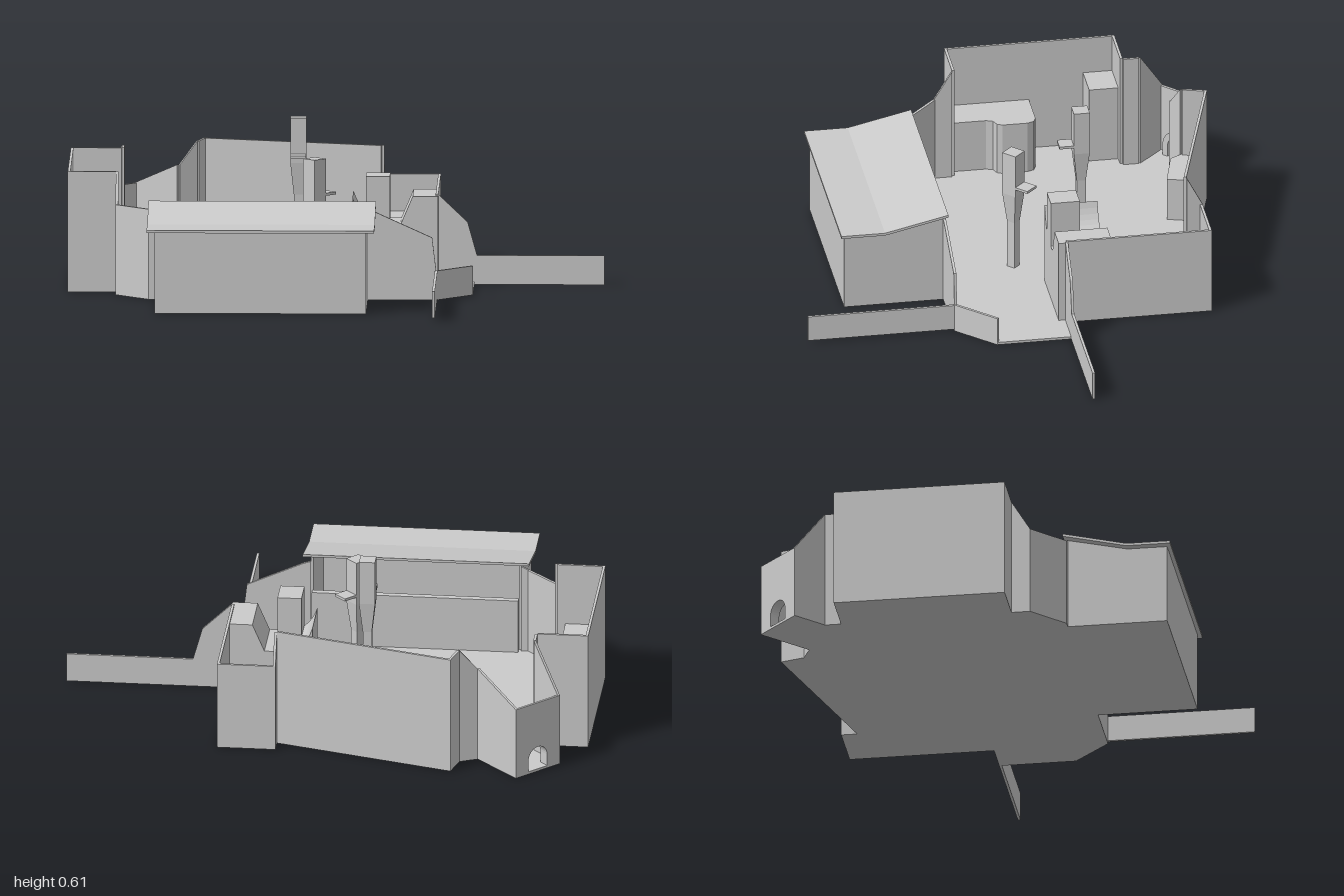
import * as THREE from 'three';

const material = new THREE.MeshStandardMaterial({ color: 0xcccccc, flatShading: true, side: THREE.DoubleSide });
const T = 0.01; // wall and floor thickness

function toShape(points) {
  return new THREE.Shape(points.map(([a, b]) => new THREE.Vector2(a, b)));
}

function extrude(shape, depth) {
  return new THREE.ExtrudeGeometry(shape, { depth, bevelEnabled: false, curveSegments: 8 });
}

export function createModel() {
  const model = new THREE.Group();

  function add(name, geometry, parent = model) {
    const mesh = new THREE.Mesh(geometry, material);
    mesh.name = name;
    parent.add(mesh);
    return mesh;
  }

  // Upright prism over an outline of [x, z] points
  function prism(name, outline, y0, y1) {
    const geometry = extrude(toShape(outline.map(([x, z]) => [x, -z])), y1 - y0);
    geometry.rotateX(-Math.PI / 2).translate(0, y0, 0);
    return add(name, geometry);
  }

  function box(name, x0, x1, y0, y1, z0, z1) {
    const geometry = new THREE.BoxGeometry(x1 - x0, y1 - y0, z1 - z0);
    geometry.translate((x0 + x1) / 2, (y0 + y1) / 2, (z0 + z1) / 2);
    return add(name, geometry);
  }

  // Thin walls through [x, z, height] points; the thickness lies to the inside
  function walls(name, points) {
    const group = new THREE.Group();
    group.name = name;
    for (let i = 0; i < points.length - 1; i++) {
      const [x0, z0, h0] = points[i];
      const [x1, z1, h1] = points[i + 1];
      const length = Math.hypot(x1 - x0, z1 - z0);
      const mesh = add(name + 'Panel', extrude(toShape([[0, 0], [length, 0], [length, h1], [0, h0]]), T), group);
      mesh.position.set(x0, 0, z0);
      mesh.rotation.y = -Math.atan2(z1 - z0, x1 - x0);
    }
    model.add(group);
  }

  // Ground plate
  prism('floor', [
    [-0.91, -0.70], [-0.76, -0.85], [-0.60, -0.69], [-0.535, -0.72], [-0.51, -0.81],
    [0.16, -0.62], [0.16, -0.68], [0.38, -0.68], [0.38, -0.13], [0.515, -0.13],
    [0.515, 0.155], [0.38, 0.295], [0.125, 0.295], [0.125, 0.67], [-0.665, 0.67],
    [-0.665, 0.295], [-0.695, 0.295], [-0.82, 0.175], [-0.82, 0.105], [-1, 0.105],
    [-1, -0.54], [-0.81, -0.54], [-0.81, -0.60],
  ], 0, T);

  // Outer walls, from the gate round the back to the right side
  walls('backWall', [
    [-0.76, -0.85, 0.28], [-0.60, -0.69, 0.37], [-0.535, -0.72, 0.455],
    [-0.51, -0.81, 0.455], [0.16, -0.62, 0.455], [0.16, -0.68, 0.34],
    [0.38, -0.68, 0.34], [0.38, -0.13, 0.34],
  ]);
  walls('sideWall', [
    [-0.695, 0.295, 0.34], [-0.82, 0.175, 0.34], [-0.82, 0.105, 0.455], [-1, 0.105, 0.455],
    [-1, -0.54, 0.455], [-0.81, -0.54, 0.455], [-0.81, -0.60, 0.455], [-0.91, -0.70, 0.28],
  ]);

  // Wall ends that step down towards the entrance
  walls('entranceWallBack', [[0.38, -0.135, 0.34], [0.49, -0.135, 0.235], [0.525, -0.135, 0.11], [1, -0.135, 0.11]]);
  walls('entranceWallFront', [
    [0.515, 0.155, 0.11], [0.38, 0.295, 0.11], [0.365, 0.295, 0.235], [0.155, 0.295, 0.33], [0.125, 0.295, 0.34],
  ]);
  box('lowFence', 0.375, 0.385, 0.01, 0.11, 0.295, 0.85);

  // Front annex with its counter and kinked roof
  walls('annexWall', [
    [0.125, 0.295, 0.355], [0.125, 0.52, 0.305], [0.125, 0.67, 0.305], [-0.665, 0.67, 0.305],
    [-0.665, 0.52, 0.305], [-0.665, 0.295, 0.355], [-0.695, 0.295, 0.34],
  ]);
  box('annexCounter', -0.655, 0.12, 0, 0.22, 0.27, 0.295);
  const roof = extrude(toShape([
    [0.685, 0.305], [0.52, 0.305], [0.28, 0.36], [0.28, 0.37], [0.52, 0.315], [0.685, 0.315],
  ]), 0.85);
  roof.rotateY(-Math.PI / 2).translate(0.155, 0, 0);
  add('annexRoof', roof);

  // Gate panel with an arched opening, and the arch frame inside it
  function archPath(path, halfWidth, straight) {
    path.moveTo(-halfWidth, 0);
    path.lineTo(-halfWidth, straight);
    path.absarc(0, straight, halfWidth, Math.PI, 0, true);
    path.lineTo(halfWidth, 0);
    path.lineTo(-halfWidth, 0);
    return path;
  }
  const gate = new THREE.Group();
  gate.name = 'gate';
  gate.position.set(-0.835, 0, -0.775);
  gate.rotation.y = Math.PI / 4;
  const panel = toShape([[-0.106, 0], [0.106, 0], [0.106, 0.28], [-0.106, 0.28]]);
  panel.holes.push(archPath(new THREE.Path(), 0.045, 0.055));
  add('gatePanel', extrude(panel, T), gate);
  const frame = archPath(new THREE.Shape(), 0.068, 0.055);
  frame.holes.push(archPath(new THREE.Path(), 0.045, 0.055));
  add('gateArch', extrude(frame, 0.03), gate).position.z = T;
  model.add(gate);

  // Blocks along the walls
  box('cornerCabinet', -1, -0.85, 0, 0.31, -0.54, -0.42);
  prism('sidePlatform', [
    [-1, -0.215], [-0.84, -0.215], [-0.815, -0.205], [-0.805, -0.18], [-0.805, -0.085],
    [-0.815, -0.065], [-0.84, -0.055], [-0.85, -0.03], [-0.85, 0.105], [-1, 0.105],
  ], 0, 0.215);
  prism('backBlock', [[-0.51, -0.81], [-0.31, -0.75], [-0.345, -0.63], [-0.505, -0.67], [-0.535, -0.72]], 0, 0.18);
  box('cornerBlock', 0.17, 0.38, 0, 0.2, -0.68, -0.47);

  // Hollow-topped hearth with its stack
  const hearth = new THREE.Shape();
  hearth.moveTo(0.06, 0);
  hearth.lineTo(0.06, 0.33);
  hearth.quadraticCurveTo(0.09, 0.23, 0.18, 0.23);
  hearth.lineTo(0.24, 0.23);
  hearth.lineTo(0.285, 0.335);
  hearth.lineTo(0.38, 0.335);
  hearth.lineTo(0.38, 0);
  add('hearth', extrude(hearth, 0.2).translate(0, 0, -0.3));
  box('hearthStack', 0.11, 0.2, 0.2, 0.41, -0.21, -0.1);

  // Square pillars: slim shaft, flared neck, wide head and a thin side ledge
  function pillar(x, z, height, turn, ledgeHeight) {
    const group = new THREE.Group();
    group.name = 'pillar';
    const r = Math.SQRT1_2;
    const profile = [[0, 0], [0.034, 0], [0.034, height - 0.29], [0.06, height - 0.17], [0.06, height], [0, height]];
    const body = new THREE.LatheGeometry(profile.map(([w, y]) => new THREE.Vector2(w * r, y)), 4);
    add('pillarBody', body.rotateY(Math.PI / 4), group);
    const ledge = new THREE.BoxGeometry(0.058, T, 0.055);
    add('pillarLedge', ledge.translate(0, ledgeHeight, 0.057), group);
    group.position.set(x, 0, z);
    group.rotation.y = turn;
    model.add(group);
  }
  pillar(-0.145, -0.27, 0.61, 0, 0.47);
  pillar(-0.08, -0.005, 0.49, Math.PI * 0.75, 0.355);

  return model;
}
